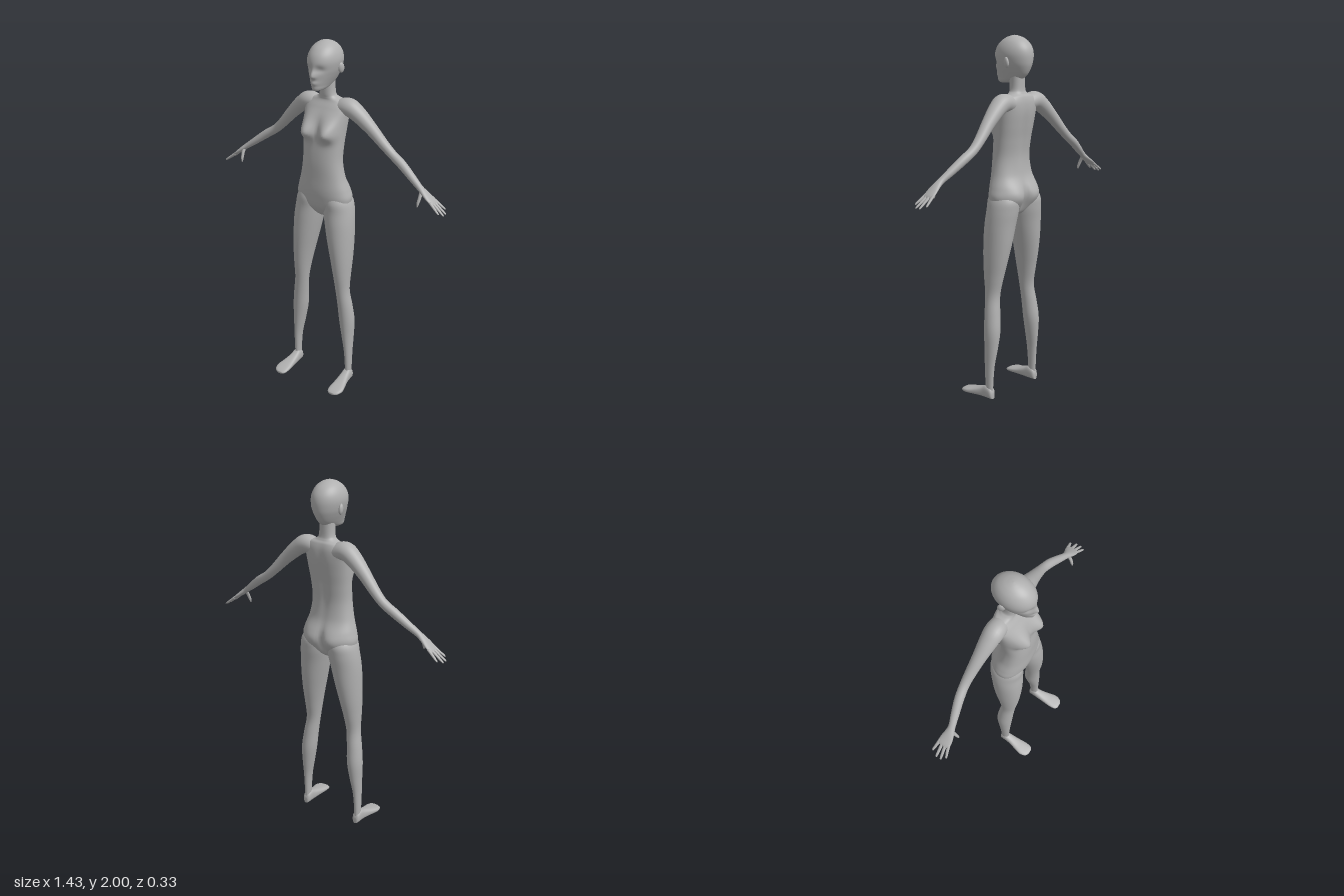
import * as THREE from 'three';

// Smoothly interpolate rows of section numbers, t in 0..1
function sample(keys, t) {
  const n = keys.length - 1;
  const f = Math.min(Math.max(t, 0), 1) * n;
  const i = Math.min(Math.floor(f), n - 1);
  const s = f - i;
  const k = (j) => keys[Math.min(Math.max(j, 0), n)];
  return keys[0].map((_, c) => {
    const a = k(i - 1)[c], b = k(i)[c], d = k(i + 1)[c], e = k(i + 2)[c];
    return b + 0.5 * s * (d - a + s * (2 * a - 5 * b + 4 * d - e + s * (3 * (b - d) + e - a)));
  });
}

// Skin a closed, capped surface; ring(t) gives { o, u, v } centre and half axes
function loft(ring, rows, cols, { side = 1, power = 1, bump = null } = {}) {
  const pos = [], idx = [];
  const add = (p) => pos.push(p.x * side, p.y, p.z);
  const tri = (a, b, c) => (side > 0 ? idx.push(a, b, c) : idx.push(a, c, b));
  const pw = (x) => Math.sign(x) * Math.abs(x) ** power;
  for (let i = 0; i <= rows; i++) {
    const { o, u, v } = ring(i / rows);
    for (let j = 0; j < cols; j++) {
      const a = (j / cols) * Math.PI * 2;
      const p = o.clone().addScaledVector(u, pw(Math.cos(a))).addScaledVector(v, pw(Math.sin(a)));
      if (bump) p.z += bump(p.x, p.y, Math.sin(a));
      add(p);
    }
  }
  for (let i = 0; i < rows; i++) {
    for (let j = 0; j < cols; j++) {
      const a = i * cols + j, b = i * cols + ((j + 1) % cols);
      tri(a, a + cols, b);
      tri(b, a + cols, b + cols);
    }
  }
  // end caps
  const start = pos.length / 3, last = rows * cols;
  add(ring(0).o);
  add(ring(1).o);
  for (let j = 0; j < cols; j++) {
    const k = (j + 1) % cols;
    tri(start, j, k);
    tri(start + 1, last + k, last + j);
  }
  const g = new THREE.BufferGeometry();
  g.setAttribute('position', new THREE.Float32BufferAttribute(pos, 3));
  g.setIndex(idx);
  g.computeVertexNormals();
  return g;
}

const V = (x, y, z) => new THREE.Vector3(x, y, z);

// Level rings from rows of [y, xMin, xMax, zFront, zBack]
const levelRing = (keys) => (t) => {
  const [y, x0, x1, zf, zb] = sample(keys, t);
  return { o: V((x0 + x1) / 2, y, (zf + zb) / 2), u: V((x1 - x0) / 2, 0, 0), v: V(0, 0, (zf - zb) / 2) };
};

// Rings across a path in rows of [x, y, z, thickness radius, width radius]
const limbRing = (keys) => (t) => {
  const [x, y, z, ru, rv] = sample(keys, t);
  const a = sample(keys, t - 0.02), b = sample(keys, t + 0.02);
  const u = V(b[0] - a[0], b[1] - a[1], 0).normalize().cross(V(0, 0, 1));
  return { o: V(x, y, z), u: u.multiplyScalar(ru), v: V(0, 0, rv) };
};

const gauss = (d, s) => Math.exp(-(d * d) / (2 * s * s));
const sym = (rows) => rows.map(([y, w, zf, zb]) => [y, -w, w, zf, zb]);

// Bust, buttocks, spine groove
function torsoBump(x, y, facing) {
  const ax = Math.abs(x);
  if (facing > 0) {
    return 0.053 * Math.min(1, facing * 1.6) * gauss(ax - 0.066, 0.034) * gauss(y - 1.525, y < 1.525 ? 0.028 : 0.045);
  }
  const f = Math.min(1, -facing * 1.5);
  return f * (-0.022 * gauss(ax - 0.07, 0.045) * gauss(y - 1.15, 0.045)
    + 0.02 * gauss(x, 0.014) * gauss(y - 1.12, 0.06)
    + 0.009 * gauss(x, 0.018) * gauss(y - 1.48, 0.12));
}

// Nose, eye hollows, lips
function faceBump(x, y, facing) {
  if (facing <= 0) return 0;
  return facing * (0.02 * gauss(x, 0.011) * gauss(y - 1.832, y < 1.832 ? 0.009 : 0.024)
    - 0.011 * gauss(Math.abs(x) - 0.033, 0.017) * gauss(y - 1.865, 0.013)
    + 0.006 * gauss(x, 0.018) * gauss(y - 1.795, 0.008));
}

const torso = sym([
  [1.035, 0.025, -0.01, -0.07], [1.06, 0.08, 0.015, -0.1], [1.1, 0.145, 0.038, -0.12],
  [1.15, 0.164, 0.048, -0.134], [1.2, 0.153, 0.053, -0.13], [1.27, 0.13, 0.053, -0.108],
  [1.36, 0.115, 0.053, -0.1], [1.45, 0.116, 0.045, -0.11], [1.53, 0.122, 0.032, -0.124],
  [1.6, 0.128, 0.016, -0.134], [1.65, 0.13, -0.01, -0.134], [1.683, 0.1, -0.03, -0.126],
  [1.7, 0.058, -0.032, -0.114], [1.725, 0.042, -0.03, -0.107], [1.81, 0.04, -0.03, -0.105],
]);

const head = sym([
  [1.751, 0.012, 0.048, -0.01], [1.757, 0.027, 0.059, -0.045], [1.767, 0.036, 0.064, -0.08],
  [1.78, 0.043, 0.065, -0.11], [1.8, 0.053, 0.066, -0.132], [1.83, 0.067, 0.066, -0.148],
  [1.86, 0.078, 0.067, -0.157], [1.9, 0.085, 0.068, -0.16], [1.935, 0.08, 0.057, -0.152],
  [1.965, 0.065, 0.033, -0.131], [1.985, 0.044, 0.003, -0.102], [1.996, 0.021, -0.026, -0.072],
  [2.0, 0.001, -0.047, -0.05],
]);

const leg = [
  [0.02, 0.165, 0.197, -0.003, -0.05], [0.1, 0.163, 0.199, 0.0, -0.053], [0.2, 0.155, 0.201, 0.005, -0.06],
  [0.3, 0.136, 0.204, 0.01, -0.073], [0.4, 0.118, 0.206, 0.015, -0.08], [0.5, 0.11, 0.195, 0.02, -0.07],
  [0.6, 0.1, 0.18, 0.027, -0.06], [0.7, 0.085, 0.182, 0.04, -0.078], [0.8, 0.065, 0.186, 0.049, -0.1],
  [0.9, 0.042, 0.187, 0.053, -0.117], [1.0, 0.02, 0.185, 0.05, -0.128], [1.08, 0.006, 0.177, 0.043, -0.138],
  [1.14, 0.01, 0.162, 0.042, -0.136], [1.2, 0.035, 0.125, 0.02, -0.09],
];

// Shoulder, elbow, wrist and palm
const arm = [
  [0.05, 1.64, -0.08, 0.04, 0.045], [0.12, 1.655, -0.08, 0.049, 0.052], [0.175, 1.627, -0.085, 0.043, 0.047],
  [0.25, 1.56, -0.095, 0.034, 0.036], [0.32, 1.488, -0.105, 0.027, 0.029], [0.375, 1.438, -0.109, 0.024, 0.025],
  [0.44, 1.395, -0.102, 0.024, 0.025], [0.51, 1.344, -0.087, 0.02, 0.022], [0.56, 1.308, -0.075, 0.016, 0.019],
  [0.59, 1.286, -0.072, 0.014, 0.026], [0.62, 1.263, -0.073, 0.011, 0.034], [0.645, 1.244, -0.075, 0.008, 0.035],
  [0.655, 1.236, -0.075, 0.004, 0.03],
];

// Foot rows of [z, centre x, half width, top]
const foot = [
  [-0.055, 0.181, 0.012, 0.035], [-0.045, 0.181, 0.021, 0.06], [-0.015, 0.181, 0.025, 0.075],
  [0.02, 0.182, 0.028, 0.06], [0.07, 0.187, 0.036, 0.042], [0.115, 0.191, 0.043, 0.03],
  [0.15, 0.189, 0.036, 0.02], [0.165, 0.186, 0.018, 0.012],
];
const footRing = (t) => {
  const [z, x, w, top] = sample(foot, t);
  return { o: V(x, top / 2, z), u: V(0, top / 2, 0), v: V(w, 0, 0) };
};

export function createModel() {
  const model = new THREE.Group();
  model.name = 'figure';
  const grey = new THREE.MeshStandardMaterial({ color: 0xb0b0b0 });
  grey.name = 'matte grey';
  const part = (name, geometry, parent = model) => {
    const m = new THREE.Mesh(geometry, grey);
    m.name = name;
    parent.add(m);
    return m;
  };

  part('torsoAndNeck', loft(levelRing(torso), 112, 80, { power: 0.88, bump: torsoBump }));
  part('head', loft(levelRing(head), 80, 80, { bump: faceBump }));

  for (const [label, side] of [['left', 1], ['right', -1]]) {
    part(label + 'Leg', loft(levelRing(leg), 60, 32, { side }));
    part(label + 'Foot', loft(footRing, 28, 24, { side, power: 0.75 }));
    part(label + 'Arm', loft(limbRing(arm), 72, 28, { side }));

    // four spread fingers and a hanging thumb
    const hand = new THREE.Group();
    hand.name = label + 'Fingers';
    model.add(hand);
    [[-0.101, -0.113, 0.696, 1.203], [-0.083, -0.083, 0.714, 1.191],
      [-0.066, -0.057, 0.714, 1.191], [-0.049, -0.034, 0.697, 1.203]].forEach(([z0, z1, x, y], i) => {
      const keys = [[0.635, 1.251, z0, 0.007, 0.009], [(0.635 + x) / 2, (1.251 + y) / 2, (z0 + z1) / 2, 0.006, 0.008],
        [x - 0.006, y + 0.005, z1, 0.004, 0.006], [x, y, z1, 0.001, 0.002]];
      part('finger' + (i + 1), loft(limbRing(keys), 12, 10, { side }), hand);
    });
    const thumb = [[0.578, 1.292, -0.066, 0.01, 0.012], [0.578, 1.265, -0.05, 0.009, 0.01],
      [0.575, 1.235, -0.038, 0.007, 0.008], [0.574, 1.215, -0.034, 0.002, 0.003]];
    part('thumb', loft(limbRing(thumb), 12, 12, { side }), hand);

    // ear
    const ear = part(label + 'Ear', new THREE.SphereGeometry(1, 20, 14));
    ear.scale.set(0.011, 0.028, 0.019);
    ear.position.set(side * 0.083, 1.862, -0.066);
    ear.rotation.set(0.15, side * -0.3, 0);
  }
  return model;
}
